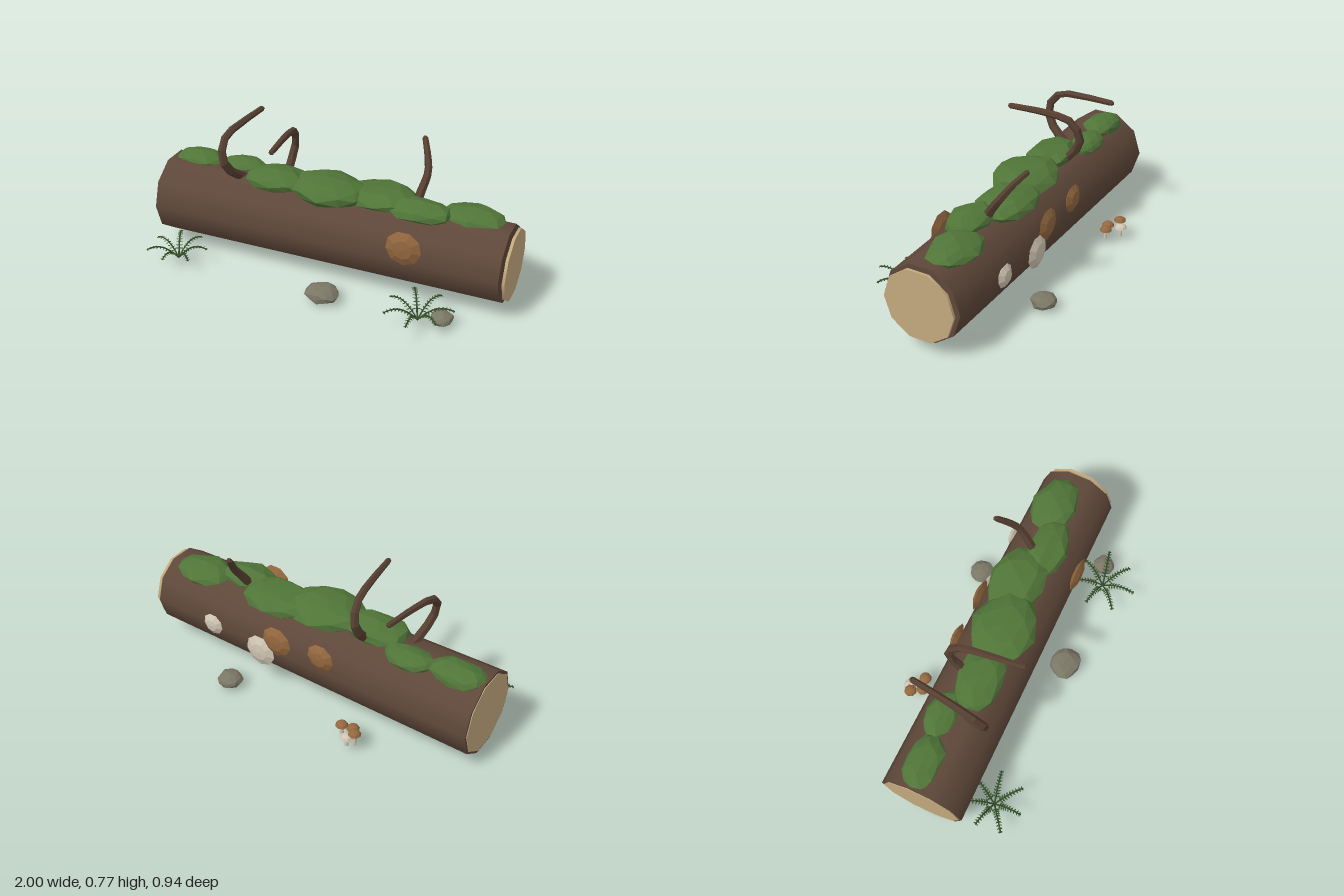
import * as THREE from 'three';
import { mergeGeometries } from 'three/addons/utils/BufferGeometryUtils.js';

const mat = (name, color, extra = {}) => {
  const m = new THREE.MeshStandardMaterial({ color, ...extra });
  m.name = name;
  return m;
};

export function createModel() {
  const root = new THREE.Group();
  root.name = 'fallenLog';
  const flat = { flatShading: true };
  const bark = mat('bark', 0x5f483a);
  const branchBark = mat('branchBark', 0x563f31, flat);
  const cutWood = mat('cutWood', 0xc4aa7e);
  const mossGreen = mat('mossGreen', 0x507538, flat);
  const fungusBrown = mat('fungusBrown', 0x94683f, flat);
  const fungusPale = mat('fungusPale', 0xd0c5b2, flat);
  const stone = mat('stone', 0x7b7766, flat);
  const fernGreen = mat('fernGreen', 0x35512a, { side: THREE.DoubleSide });

  const add = (name, geo, material, x = 0, y = 0, z = 0, parent = root) => {
    const m = new THREE.Mesh(geo, material);
    m.name = name;
    m.position.set(x, y, z);
    parent.add(m);
    return m;
  };

  // Faceted lump: an icosahedron pushed in and out by a hash of each corner
  const lump = (rx, ry, rz, seed, rough) => {
    const g = new THREE.IcosahedronGeometry(1, 1);
    const p = g.attributes.position;
    for (let i = 0; i < p.count; i++) {
      const [x, y, z] = [p.getX(i), p.getY(i), p.getZ(i)].map(v => Math.round(v * 1000) / 1000);
      const h = Math.sin(x * 12.99 + y * 78.23 + z * 37.72 + seed * 4.13) * 43.7;
      const k = 1 + rough * ((h - Math.floor(h)) * 2 - 1);
      p.setXYZ(i, x * k * rx, y * k * ry, z * k * rz);
    }
    g.computeVertexNormals();
    return g;
  };

  // Log trunk with two cut faces
  const alongX = (r1, r0, len) => new THREE.CylinderGeometry(r1, r0, len, 10).rotateZ(-Math.PI / 2);
  const CY = 0.263, CZ = -0.058;
  add('trunk', alongX(0.212, 0.23, 1.966), bark, -0.013, CY, CZ);
  add('cutFaceLeft', alongX(0.196, 0.196, 0.015), cutWood, 0.9925, CY, CZ);
  add('cutFaceRight', alongX(0.216, 0.216, 0.008), cutWood, -0.996, CY, CZ);

  // Moss patches along the top: x, y, z, rx, ry, rz
  [
    [-0.84, 0.475, -0.105, 0.15, 0.05, 0.10],
    [-0.58, 0.47, -0.135, 0.14, 0.045, 0.085],
    [-0.33, 0.48, -0.04, 0.18, 0.06, 0.125],
    [-0.03, 0.485, -0.045, 0.22, 0.075, 0.17],
    [0.25, 0.475, -0.095, 0.20, 0.06, 0.15],
    [0.49, 0.475, -0.035, 0.18, 0.055, 0.11],
    [0.75, 0.465, -0.105, 0.16, 0.05, 0.125],
  ].forEach(([x, y, z, a, b, c], i) => add('mossPatch', lump(a, b, c, i + 1, 0.1), mossGreen, x, y, z));

  // Bent branches: tubes that thin out towards the tip
  const branch = pts => {
    const curve = new THREE.CatmullRomCurve3(pts.map(p => new THREE.Vector3(...p)));
    const N = 10, S = 6;
    const g = new THREE.TubeGeometry(curve, N, 0.027, S);
    const p = g.attributes.position, v = new THREE.Vector3();
    for (let i = 0; i < p.count; i++) {
      const t = Math.floor(i / (S + 1)) / N;
      const c = curve.getPointAt(t);
      v.fromBufferAttribute(p, i).sub(c).multiplyScalar(1 - 0.42 * t).add(c);
      p.setXYZ(i, v.x, v.y, v.z);
    }
    // tip cap
    const tip = new THREE.IcosahedronGeometry(0.0155, 0).translate(...pts[pts.length - 1]);
    add('branch', g, branchBark);
    add('branchTip', tip, branchBark);
  };
  branch([[-0.53, 0.45, -0.04], [-0.56, 0.53, 0.07], [-0.585, 0.63, 0.115], [-0.592, 0.72, 0.055],
    [-0.575, 0.745, -0.08], [-0.55, 0.755, -0.29]]);
  branch([[-0.315, 0.45, -0.10], [-0.32, 0.54, -0.19], [-0.31, 0.63, -0.222], [-0.295, 0.72, -0.165],
    [-0.28, 0.745, -0.04], [-0.255, 0.752, 0.175]]);
  branch([[0.44, 0.44, -0.07], [0.455, 0.53, -0.125], [0.468, 0.62, -0.19], [0.445, 0.69, -0.24], [0.408, 0.757, -0.298]]);

  // Bracket fungi: lens shapes on the sides of the log: x, y, z, radius, colour
  [
    [0.47, 0.35, 0.16, 0.098, fungusBrown],
    [-0.14, 0.355, -0.274, 0.08, fungusBrown],
    [0.14, 0.335, -0.274, 0.09, fungusBrown],
    [0.25, 0.228, -0.274, 0.093, fungusPale],
    [0.575, 0.265, -0.274, 0.064, fungusPale],
  ].forEach(([x, y, z, r, m]) => {
    const profile = [[0, -0.024], [0.55, -0.019], [1, 0], [0.55, 0.019], [0, 0.024]]
      .map(([a, b]) => new THREE.Vector2(a * r, b));
    add('bracketFungus', new THREE.LatheGeometry(profile, 9).rotateX(Math.PI / 2), m, x, y, z);
  });

  // Stones: x, y, z, rx, ry, rz
  [
    [0.075, 0.048, 0.28, 0.09, 0.044, 0.086],
    [0.38, 0.045, -0.385, 0.07, 0.038, 0.07],
    [0.72, 0.045, 0.235, 0.06, 0.034, 0.06],
  ].forEach(([x, y, z, a, b, c], i) => {
    const g = lump(a, b, c, i + 20, 0.1);
    const p = g.attributes.position;
    for (let k = 0; k < p.count; k++) p.setY(k, Math.max(p.getY(k), i ? -0.035 : -0.048));
    add('stone', g, stone, x, y, z);
  });

  // Mushroom cluster behind the log: x, z, cap base height, colour
  [
    [-0.453, -0.418, 0.104, fungusBrown],
    [-0.42, -0.44, 0.08, fungusPale],
    [-0.41, -0.366, 0.08, fungusBrown],
    [-0.35, -0.38, 0.083, fungusBrown],
  ].forEach(([x, z, y, m]) => {
    const mushroom = new THREE.Group();
    mushroom.name = 'mushroom';
    mushroom.position.set(x, 0, z);
    root.add(mushroom);
    const h = y - 0.025;
    add('stem', new THREE.CylinderGeometry(0.008, 0.011, h, 6), fungusPale, 0, 0.03 + h / 2, 0, mushroom);
    const cap = [[0, 0], [0.035, 0], [0.028, 0.014], [0.015, 0.022], [0, 0.025]].map(q => new THREE.Vector2(...q));
    add('cap', new THREE.LatheGeometry(cap, 8), m, 0, y, 0, mushroom);
  });

  // Ferns: arching ribs with paired leaflets, repeated around the centre
  const frond = len => {
    const rib = new THREE.CatmullRomCurve3([[0, 0.03, 0], [0.22, 0.072, 0], [0.5, 0.108, 0], [0.78, 0.115, 0], [1, 0.103, 0]]
      .map(([a, y, z]) => new THREE.Vector3(a * len, y, z)));
    const parts = [new THREE.TubeGeometry(rib, 8, 0.0045, 4).toNonIndexed()];
    const leaf = new THREE.Shape([[0, 0], [0.005, 0.012], [0.002, 0.026], [-0.004, 0.012]].map(q => new THREE.Vector2(...q)));
    for (let i = 0; i < 9; i++) {
      const t = 0.25 + i * 0.088;
      const c = rib.getPointAt(Math.min(t, 1));
      for (const s of [-1, 1]) {
        const k = 1.1 - 0.5 * t;
        parts.push(new THREE.ShapeGeometry(leaf).toNonIndexed().scale(k * 1.2, k, k)
          .rotateZ(-0.35).rotateX(s * Math.PI / 2 + s * 0.15).translate(c.x, c.y, c.z));
      }
    }
    return mergeGeometries(parts);
  };
  const fern = (x, z, start, size) => {
    const g = new THREE.Group();
    g.name = 'fern';
    g.position.set(x, 0, z);
    root.add(g);
    for (let i = 0; i < 7; i++) {
      const f = add('frond', frond(size * (i % 2 ? 0.92 : 1)), fernGreen, 0, 0, 0, g);
      f.rotation.y = start + i * Math.PI * 2 / 7;
    }
  };
  fern(-0.81, 0.265, 0.2, 0.17);
  fern(0.605, 0.28, -Math.PI / 2, 0.185);

  return root;
}
